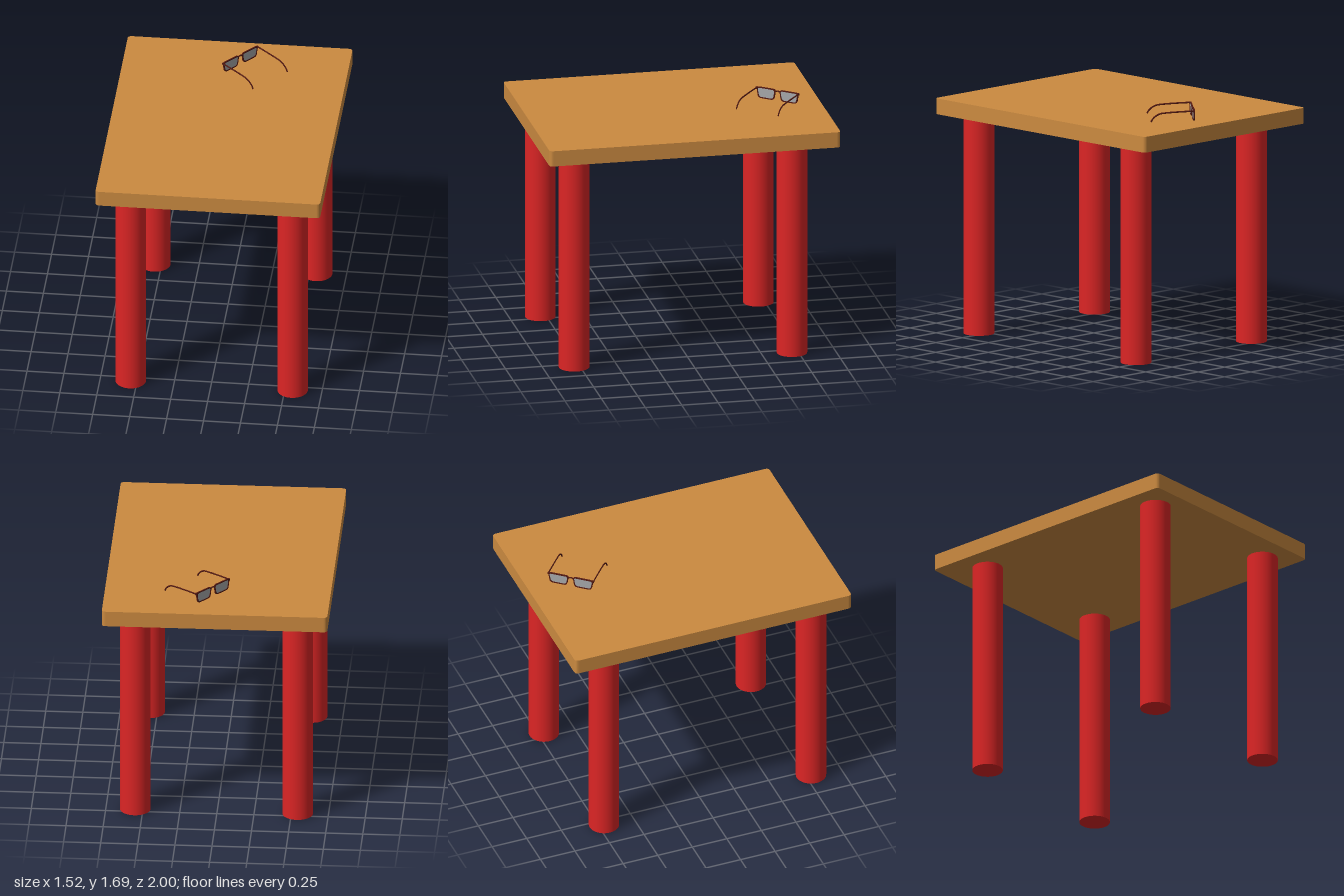
import * as THREE from 'three';

const wood = new THREE.MeshStandardMaterial({ name: 'wood', color: 0xcb8a40 });
const red = new THREE.MeshStandardMaterial({ name: 'red paint', color: 0xdc2525 });
const maroon = new THREE.MeshStandardMaterial({ name: 'dark maroon', color: 0x541a12 });
const grey = new THREE.MeshStandardMaterial({ name: 'grey glass', color: 0xa6a8aa });

function add(parent, name, geometry, material) {
  const mesh = new THREE.Mesh(geometry, material);
  mesh.name = name;
  parent.add(mesh);
  return mesh;
}

// Closed outline through the corners, rounded by radius r
function roundedOutline(corners, r, Type = THREE.Shape) {
  const path = new Type();
  const pts = corners.map(([x, y]) => new THREE.Vector2(x, y));
  pts.forEach((p, i) => {
    const prev = pts[(i + pts.length - 1) % pts.length];
    const next = pts[(i + 1) % pts.length];
    const a = prev.clone().sub(p).setLength(r).add(p);
    const b = next.clone().sub(p).setLength(r).add(p);
    if (i === 0) path.moveTo(a.x, a.y);
    else path.lineTo(a.x, a.y);
    path.quadraticCurveTo(p.x, p.y, b.x, b.y);
  });
  path.closePath();
  return path;
}

// Lens outline, wider at the top, shrunk by an inset
function lensCorners(inset) {
  const top = 0.073 - inset, bottom = 0.06 - inset, h = 0.039 - inset;
  return [[-bottom, -h], [bottom, -h], [top, h], [-top, h]];
}

function createGlasses() {
  const glasses = new THREE.Group();
  glasses.name = 'glasses';
  for (const side of [-1, 1]) {
    const label = side > 0 ? 'Left' : 'Right';
    // Rim with an opening, and the lens inside it
    const rim = roundedOutline(lensCorners(0), 0.022);
    rim.holes.push(roundedOutline(lensCorners(0.007), 0.018, THREE.Path));
    const rimGeo = new THREE.ExtrudeGeometry(rim, { depth: 0.01, bevelEnabled: false, curveSegments: 8 });
    add(glasses, 'rim' + label, rimGeo, maroon).position.set(side * 0.087, 0.043, -0.005);
    const lensGeo = new THREE.ExtrudeGeometry(roundedOutline(lensCorners(0.006), 0.018),
      { depth: 0.003, bevelEnabled: false, curveSegments: 8 });
    add(glasses, 'lens' + label, lensGeo, grey).position.set(side * 0.087, 0.043, -0.0015);
    // Temple arm with a hooked ear end
    const arm = new THREE.CatmullRomCurve3([
      [0.0, 0.074], [0.08, 0.071], [0.19, 0.064], [0.232, 0.058],
      [0.262, 0.042], [0.282, 0.022], [0.292, 0.004],
    ].map(([z, y]) => new THREE.Vector3(0, y, z)));
    const temple = add(glasses, 'temple' + label, new THREE.TubeGeometry(arm, 40, 0.0055, 8), maroon);
    temple.scale.x = 0.75;
    temple.position.x = side * 0.159;
    // Hinge block joining the rim and arm
    add(glasses, 'hinge' + label, new THREE.BoxGeometry(0.012, 0.014, 0.014), maroon)
      .position.set(side * 0.157, 0.073, 0.002);
  }
  // Bridge arched over the nose
  const bridge = new THREE.QuadraticBezierCurve3(
    new THREE.Vector3(-0.018, 0.066, 0), new THREE.Vector3(0, 0.078, 0), new THREE.Vector3(0.018, 0.066, 0));
  add(glasses, 'bridge', new THREE.TubeGeometry(bridge, 10, 0.005, 8), maroon);
  return glasses;
}

export function createModel() {
  const model = new THREE.Group();
  model.name = 'tableWithGlasses';

  // Table top with rounded vertical corners
  const slab = roundedOutline([[-0.76, -1], [0.76, -1], [0.76, 1], [-0.76, 1]], 0.028);
  const slabGeo = new THREE.ExtrudeGeometry(slab, { depth: 0.108, bevelEnabled: false, curveSegments: 8 });
  slabGeo.rotateX(-Math.PI / 2);
  add(model, 'tableTop', slabGeo, wood).position.y = 1.5;

  // Four round legs
  const legGeo = new THREE.CylinderGeometry(0.103, 0.103, 1.5, 40);
  for (const [x, xName] of [[-0.543, 'Right'], [0.552, 'Left']]) {
    for (const [z, zName] of [[0.79, 'front'], [-0.708, 'back']]) {
      add(model, zName + 'Leg' + xName, legGeo, red).position.set(x, 0.75, z);
    }
  }

  // Glasses lying turned on the table
  const glasses = createGlasses();
  glasses.position.set(0.03, 1.608, -0.72);
  glasses.rotation.y = 0.872;
  model.add(glasses);
  return model;
}
